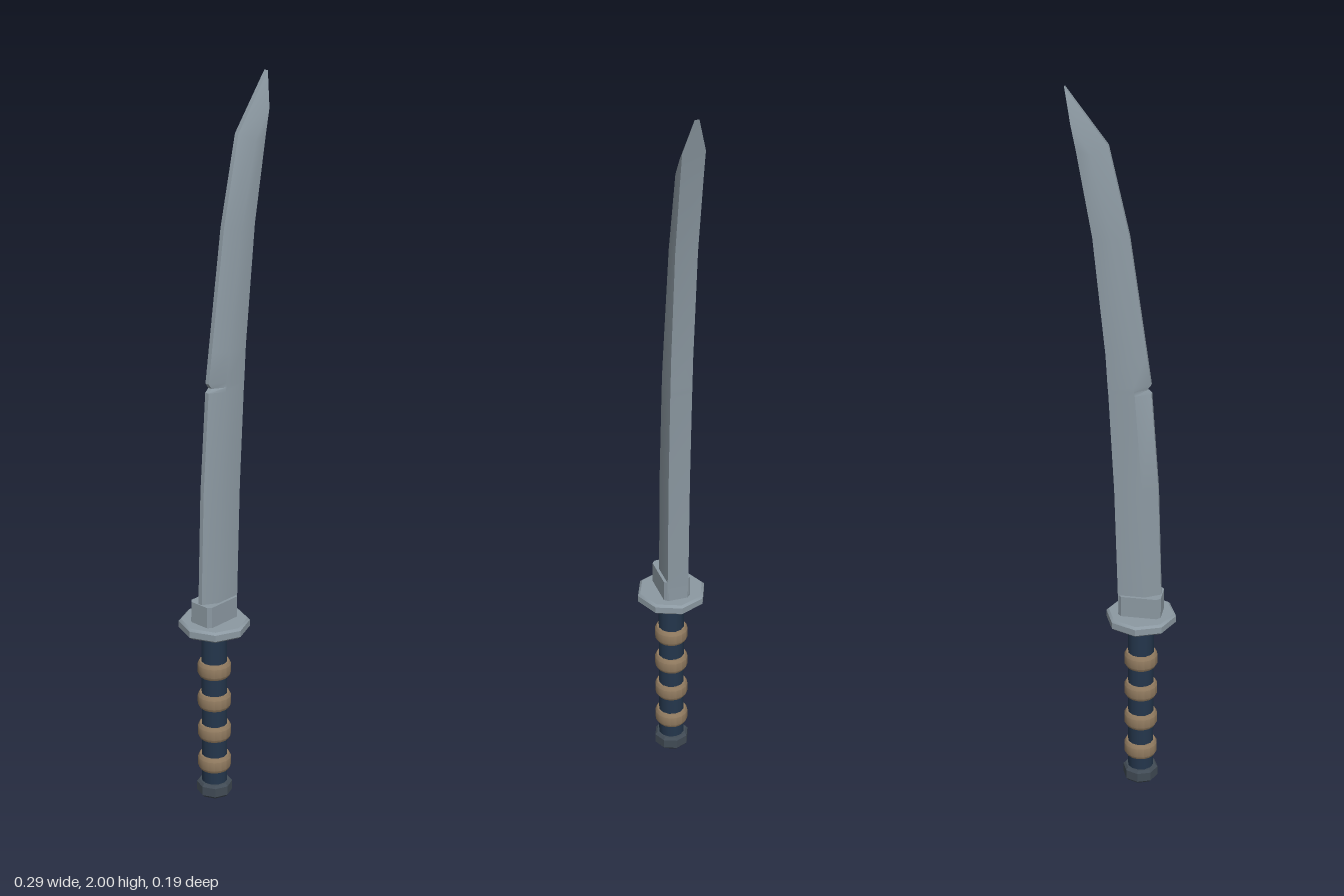
import * as THREE from 'three';
import { toCreasedNormals } from 'three/addons/utils/BufferGeometryUtils.js';

const material = (name, color) => {
  const m = new THREE.MeshStandardMaterial({ color });
  m.name = name;
  return m;
};

// Curved blade: six-point sections (thin edge, bevel ridge, flat spine), mirrored in z
function bladeGeometry() {
  const edgeZ = 0.006, bodyZ = 0.03;
  // edge x, y, ridge x, y, spine x, y
  const stations = [
    [-0.106, 0.53, -0.066, 0.53, 0.008, 0.53],
    [-0.105, 0.62, -0.065, 0.62, 0.01, 0.62],
    [-0.096, 0.915, -0.056, 0.915, 0.019, 0.915],
    [-0.076, 1.19, -0.036, 1.19, 0.034, 1.19],
    [-0.064, 1.2, -0.034, 1.202, 0.035, 1.202], // small nick
    [-0.075, 1.215, -0.034, 1.215, 0.036, 1.215],
    [-0.063, 1.3, -0.023, 1.296, 0.041, 1.3],
    [-0.017, 1.62, 0.024, 1.612, 0.074, 1.62],
    [0.037, 1.855, 0.076, 1.836, 0.114, 1.845],
    [0.147, 2.0, 0.127, 1.91, 0.127, 1.91],
  ];
  const points = [], index = [];
  for (const [ex, ey, rx, ry, sx, sy] of stations) {
    points.push(
      ex, ey, edgeZ, rx, ry, bodyZ, sx, sy, bodyZ,
      sx, sy, -bodyZ, rx, ry, -bodyZ, ex, ey, -edgeZ);
  }
  for (let i = 0; i < stations.length - 1; i++) {
    for (let j = 0; j < 6; j++) {
      const k = (j + 1) % 6, a = i * 6 + j, b = i * 6 + k;
      index.push(a, b, b + 6, a, b + 6, a + 6);
    }
  }
  // Tapered end of the spine
  const t = (stations.length - 1) * 6;
  index.push(t + 2, t + 3, t + 5, t + 2, t + 5, t);
  const g = new THREE.BufferGeometry();
  g.setAttribute('position', new THREE.Float32BufferAttribute(points, 3));
  g.setIndex(index);
  return toCreasedNormals(g, 0.62);
}

// Turned part from [radius, y] pairs, bottom to top
function turned(profile, sides) {
  const g = new THREE.LatheGeometry(profile.map(([r, y]) => new THREE.Vector2(r, y)), sides);
  return toCreasedNormals(g, 0.6);
}

// Rectangular block with cut corners, standing on y = 0
function collarGeometry(w, d, h, c) {
  const x = w / 2, z = d / 2;
  const shape = new THREE.Shape([
    [x - c, -z], [x, -z + c], [x, z - c], [x - c, z],
    [-x + c, z], [-x, z - c], [-x, -z + c], [-x + c, -z],
  ].map(([px, py]) => new THREE.Vector2(px, py)));
  const g = new THREE.ExtrudeGeometry(shape, { depth: h, bevelEnabled: false });
  return g.rotateX(-Math.PI / 2);
}

export function createModel() {
  const steel = material('steel', 0x8c99a2);
  const navy = material('navy grip', 0x24364c);
  const tan = material('tan binding', 0x917b60);
  const iron = material('dark iron', 0x414b55);
  const model = new THREE.Group();
  model.name = 'sword';
  const hiltX = -0.05;

  const add = (name, geometry, mat, x = 0, y = 0) => {
    const mesh = new THREE.Mesh(geometry, mat);
    mesh.name = name;
    mesh.position.set(x, y, 0);
    model.add(mesh);
  };

  add('blade', bladeGeometry(), steel);
  add('collar', collarGeometry(0.118, 0.076, 0.065, 0.01), steel, hiltX, 0.53);

  // Eight-sided guard with bevelled rims
  add('guard', turned([
    [0, 0.505], [0.09, 0.505], [0.097, 0.511], [0.097, 0.529], [0.09, 0.535], [0, 0.535],
  ], 8), steel, hiltX);

  add('grip', turned([[0.036, 0.03], [0.036, 0.51]], 12), navy, hiltX);

  // Rounded bindings around the grip
  const ring = turned([
    [0.034, -0.022], [0.041, -0.022], [0.046, -0.013],
    [0.046, 0.013], [0.041, 0.022], [0.034, 0.022],
  ], 16);
  [0.1, 0.196, 0.291, 0.387].forEach((y, i) => add(`binding${i + 1}`, ring, tan, hiltX, y));

  add('pommel', turned([
    [0, 0], [0.043, 0], [0.049, 0.007], [0.049, 0.033], [0.043, 0.04], [0, 0.04],
  ], 8), iron, hiltX);

  return model;
}
